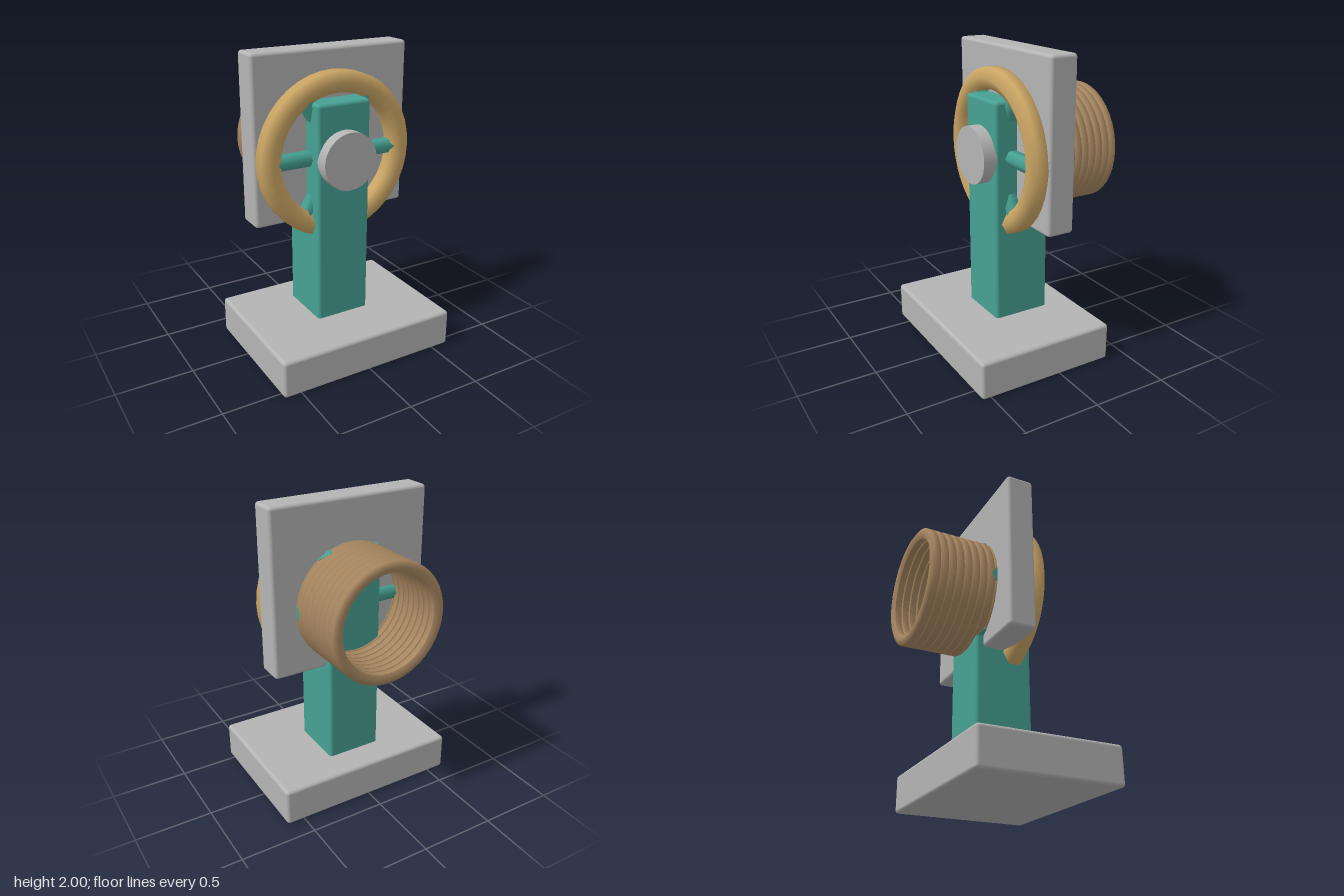
import * as THREE from 'three';
import { RoundedBoxGeometry } from 'three/addons/geometries/RoundedBoxGeometry.js';

const AXIS_Y = 1.333; // height of the wheel and coil axis

function material(name, color) {
  const m = new THREE.MeshStandardMaterial({ color });
  m.name = name;
  return m;
}

// Rounded block given by its lower and upper corners
function block(name, mat, min, max, radius) {
  const size = max.map((v, i) => v - min[i]);
  const mesh = new THREE.Mesh(new RoundedBoxGeometry(...size, 3, radius), mat);
  mesh.position.set(...max.map((v, i) => (v + min[i]) / 2));
  mesh.name = name;
  return mesh;
}

// Ring with a six-sided section, facing z
function ring(name, mat, radius, tube, z) {
  const section = [];
  for (let i = 0; i <= 6; i++) {
    const a = -Math.PI * 5 / 6 + i * Math.PI / 3;
    section.push(new THREE.Vector2(radius + tube * Math.cos(a), tube * Math.sin(a)));
  }
  const geometry = new THREE.LatheGeometry(section, 40);
  geometry.rotateX(Math.PI / 2);
  const mesh = new THREE.Mesh(geometry, mat);
  mesh.position.set(0, AXIS_Y, z);
  mesh.name = name;
  return mesh;
}

// Three hexagonal bars through the axis make six spokes
function spokes(name, mat, length, z) {
  const group = new THREE.Group();
  for (let i = 0; i < 3; i++) {
    const bar = new THREE.Mesh(new THREE.CylinderGeometry(0.052, 0.052, length * 2, 6), mat);
    bar.rotation.z = Math.PI / 2 + i * Math.PI / 3;
    bar.name = 'spokeBar';
    group.add(bar);
  }
  group.position.set(0, AXIS_Y, z);
  group.name = name;
  return group;
}

export function createModel() {
  const model = new THREE.Group();
  model.name = 'wheelStand';
  const grey = material('grey', 0xb4b4b4);
  const teal = material('teal', 0x46a193);
  const gold = material('gold', 0xcca765);
  const brown = material('brown', 0xa98862);

  // Stand
  model.add(
    block('base', grey, [-0.622, 0, -0.37], [0.622, 0.25, 0.565], 0.022),
    block('column', teal, [-0.187, 0.2, -0.17], [0.187, 1.69, 0.215], 0.022),
    block('backPlate', grey, [-0.545, 0.915, -0.12], [0.545, 2, 0.064], 0.022)
  );

  // Front wheel
  model.add(ring('wheelRim', gold, 0.466, 0.078, 0.097));
  model.add(spokes('wheelSpokes', teal, 0.45, 0.097));

  // Hub cap
  const hub = new THREE.Mesh(new THREE.CylinderGeometry(0.185, 0.185, 0.15, 40), grey);
  hub.rotation.x = Math.PI / 2;
  hub.position.set(0, AXIS_Y, 0.22);
  hub.name = 'hubCap';
  model.add(hub);

  // Rear coil of stacked rings
  const coil = new THREE.Group();
  coil.name = 'coil';
  for (let i = 0; i < 9; i++) {
    coil.add(ring('coilRing', brown, 0.355, 0.04, -0.105 - i * 0.0525));
  }
  model.add(coil, spokes('coilSpokes', teal, 0.39, -0.105));

  return model;
}
